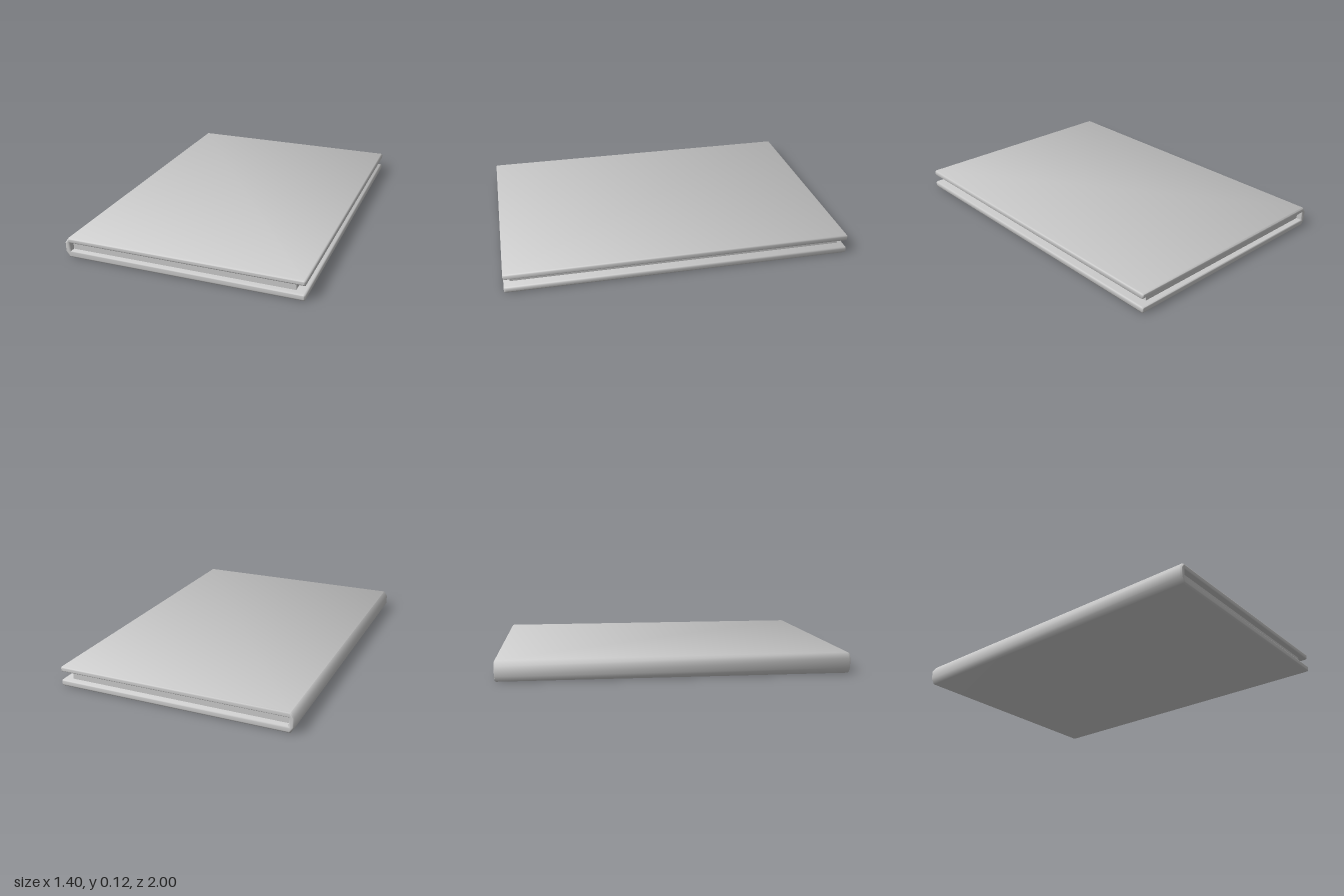
import * as THREE from 'three';
import { toCreasedNormals } from 'three/addons/utils/BufferGeometryUtils.js';

const LENGTH = 2, HEIGHT = 0.118, BEVEL = 0.01;

export function createModel() {
  const group = new THREE.Group();
  group.name = 'book';
  const material = new THREE.MeshStandardMaterial({ color: 0xcccccc });

  // Cover: two boards joined by a chamfered spine, one C-shaped section
  const lower = [
    [-0.668, 0.038], [0.69, 0.038], [0.697, 0.035], [0.7, 0.028],
    [0.7, 0.01], [0.697, 0.003], [0.69, 0], [-0.678, 0], [-0.7, 0.033],
  ];
  const upper = lower.map(([x, y]) => [x, HEIGHT - y * (y === 0.038 ? 0.82 : 0.9)]).reverse();
  const outline = [...lower, ...upper].map(([x, y]) => new THREE.Vector2(x, y));
  const coverGeometry = new THREE.ExtrudeGeometry(new THREE.Shape(outline), {
    depth: LENGTH - 2 * BEVEL, steps: 1,
    bevelEnabled: true, bevelThickness: BEVEL, bevelSize: BEVEL,
    bevelOffset: -BEVEL, bevelSegments: 3,
  });
  coverGeometry.translate(0, 0, BEVEL - LENGTH / 2);
  const cover = new THREE.Mesh(toCreasedNormals(coverGeometry, Math.PI / 3), material);
  cover.name = 'cover';
  group.add(cover);

  // Page block, set back from the three open edges
  const pages = new THREE.Mesh(new THREE.BoxGeometry(1.31, 0.05, 1.93), material);
  pages.position.set(-0.013, 0.0625, 0);
  pages.name = 'pageBlock';
  group.add(pages);

  return group;
}
